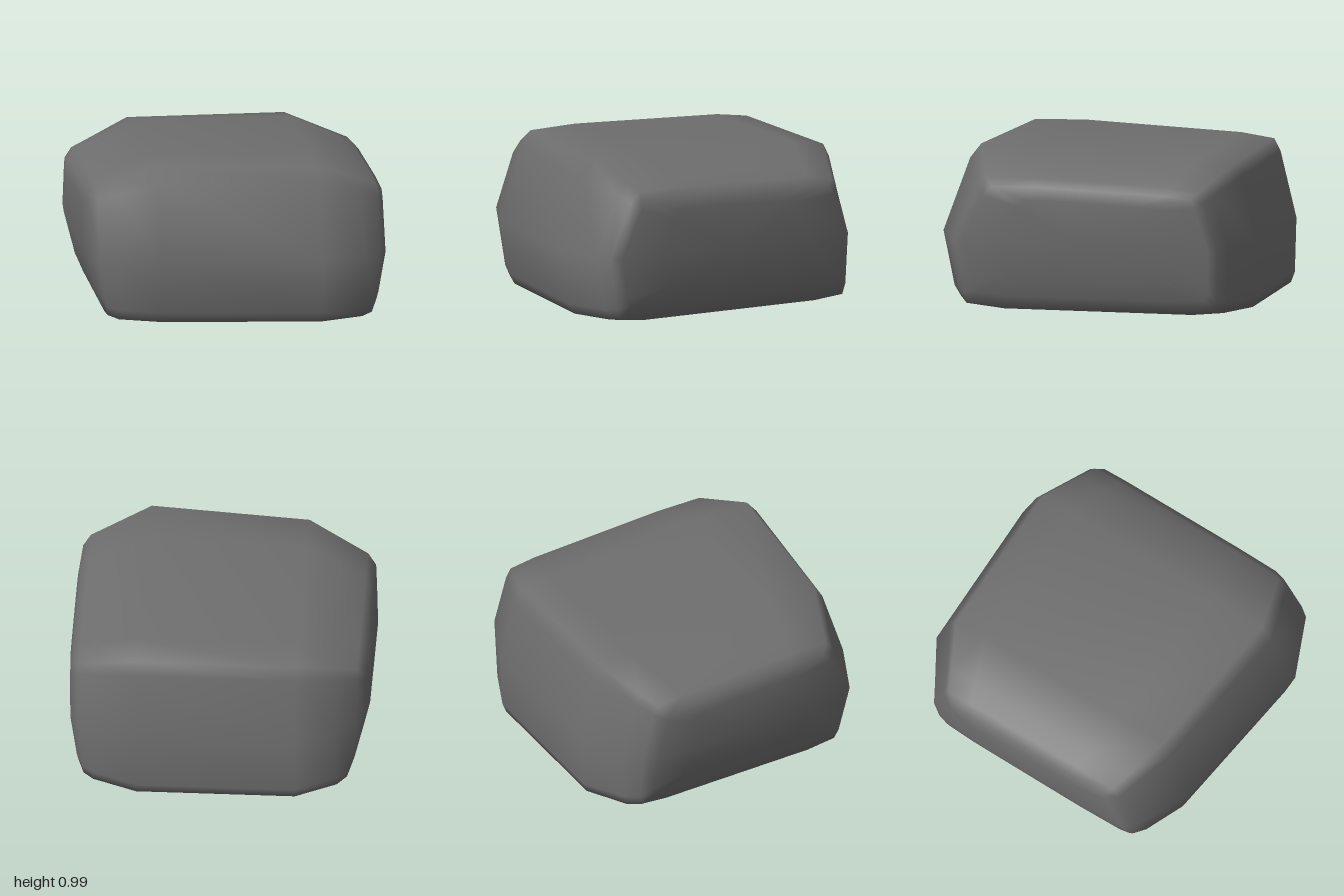
import * as THREE from 'three';

// Middle cross-section as [z, y], running front -> top -> back -> bottom
const section = [
  [1, 0.43], [0.83, 0.89], [0.76, 0.98], [0.4, 0.99], [-0.65, 0.95],
  [-0.86, 0.92], [-0.9, 0.84], [-1, 0.43], [-0.99, 0.09], [-0.965, 0.025],
  [-0.74, 0.005], [0.62, 0], [0.89, 0.025], [0.93, 0.09],
];
const MID = 0.43; // height of the widest line

// Stations along x: scale of front, back, top and bottom, and how far the underside tucks in
const stations = [
  { x: -0.93, front: 0.36, back: 0.5, top: 0.5, bottom: 0.5, tuck: 0.11 },
  { x: -0.91, front: 0.64, back: 0.7, top: 0.64, bottom: 0.78, tuck: 0.1 },
  { x: -0.86, front: 0.7, back: 0.78, top: 0.73, bottom: 0.96, tuck: 0.065 },
  { x: -0.74, front: 0.755, back: 0.85, top: 0.817, bottom: 1, tuck: 0 },
  { x: -0.49, front: 0.87, back: 1, top: 1, bottom: 1, tuck: 0 },
  { x: 0.49, front: 1, back: 1, top: 1, bottom: 1, tuck: 0 },
  { x: 0.76, front: 0.883, back: 0.876, top: 0.803, bottom: 1, tuck: 0 },
  { x: 0.86, front: 0.84, back: 0.83, top: 0.73, bottom: 0.96, tuck: 0.04 },
  { x: 0.905, front: 0.78, back: 0.78, top: 0.64, bottom: 0.78, tuck: 0.06 },
  { x: 0.925, front: 0.5, back: 0.5, top: 0.5, bottom: 0.5, tuck: 0.08 },
];

function stoneGeometry() {
  const positions = [];
  const index = [];
  const n = section.length;

  // Rings of vertices
  for (const s of stations) {
    for (const [z, y] of section) {
      const low = Math.max(0, (MID - y) / MID) * s.bottom;
      positions.push(
        s.x - Math.sign(s.x) * s.tuck * low,
        MID + (y - MID) * (y > MID ? s.top : s.bottom),
        z * (z > 0 ? s.front : s.back),
      );
    }
  }

  // Skin between neighbouring rings
  for (let i = 0; i < stations.length - 1; i++) {
    for (let j = 0; j < n; j++) {
      const k = (j + 1) % n;
      const a = i * n + j, b = i * n + k, c = b + n, d = a + n;
      index.push(a, d, b, d, c, b);
    }
  }

  // Side caps
  const last = stations.length - 1;
  const centre = positions.length / 3;
  positions.push(stations[0].x, MID, 0, stations[last].x, MID, 0);
  for (let j = 0; j < n; j++) {
    const k = (j + 1) % n;
    index.push(centre, j, k, centre + 1, last * n + k, last * n + j);
  }

  const geometry = new THREE.BufferGeometry();
  geometry.setAttribute('position', new THREE.Float32BufferAttribute(positions, 3));
  geometry.setIndex(index);
  geometry.computeVertexNormals();
  return geometry;
}

export function createModel() {
  const group = new THREE.Group();
  const stone = new THREE.Mesh(stoneGeometry(), new THREE.MeshStandardMaterial({ color: 0x6e6e6e }));
  stone.name = 'stoneBlock';
  group.add(stone);
  return group;
}
